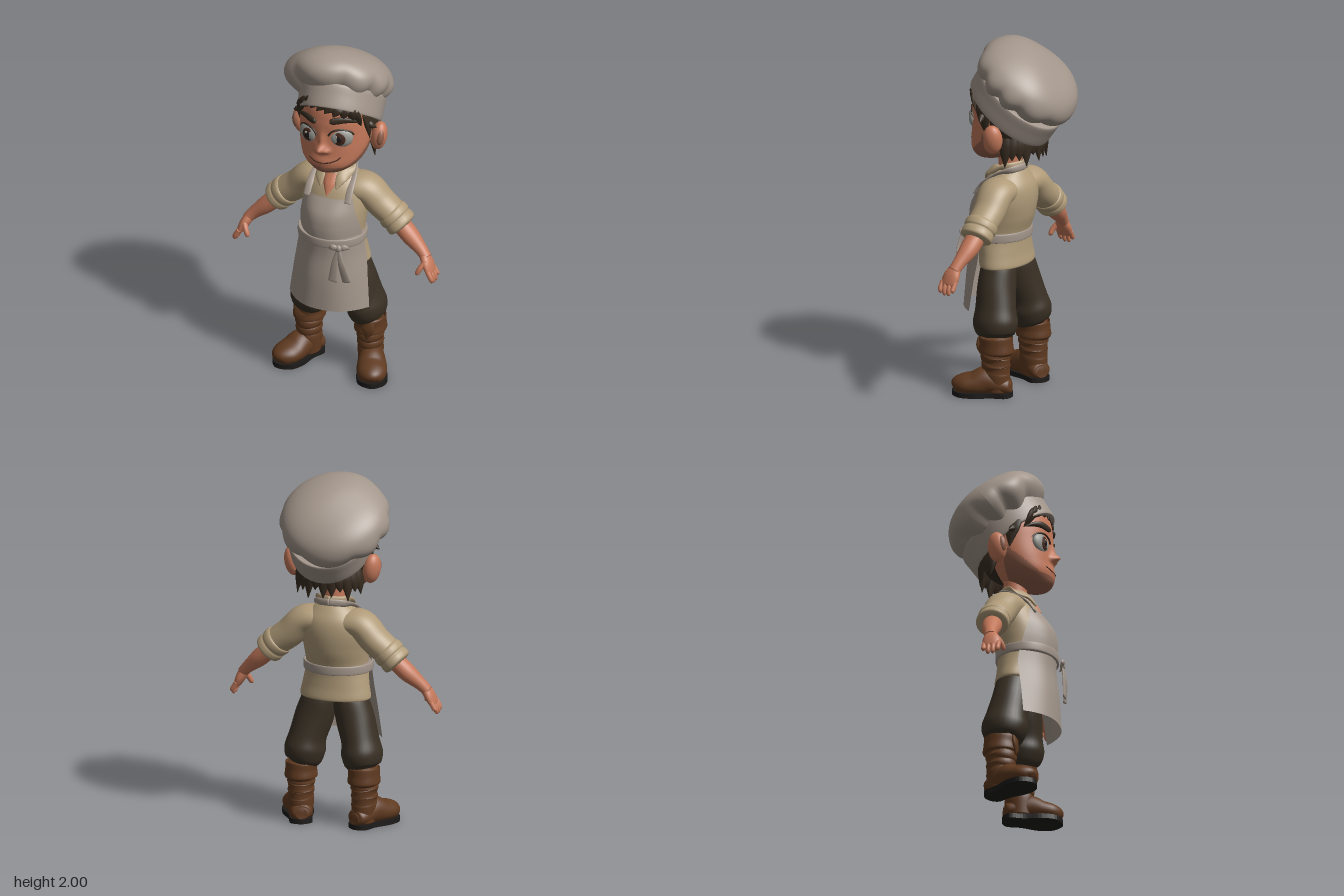
import * as THREE from 'three';

const V = (x, y, z) => new THREE.Vector3(x, y, z);
const paint = (name, color, side = THREE.FrontSide) => {
  const m = new THREE.MeshStandardMaterial({ color, side });
  m.name = name;
  return m;
};

// Smoothly interpolate a table of rows at t in 0..1
function sample(rows, t) {
  const f = t * (rows.length - 1), i = Math.min(Math.floor(f), rows.length - 2), s = f - i;
  const g = k => rows[Math.max(0, Math.min(rows.length - 1, k))];
  return rows[0].map((_, c) => {
    const a = g(i - 1)[c], b = g(i)[c], d = g(i + 1)[c], e = g(i + 2)[c];
    return b + 0.5 * s * (d - a + s * (2 * a - 5 * b + 4 * d - e + s * (3 * (b - d) + e - a)));
  });
}

function makeGeometry(pos, index) {
  const g = new THREE.BufferGeometry();
  g.setAttribute('position', new THREE.Float32BufferAttribute(pos, 3));
  g.setIndex(index);
  g.computeVertexNormals();
  return g;
}

// Closed skin over elliptical rings [x, y, z, radiusA, radiusB]
function loft(rows, { n = 24, m = rows.length * 5, ref = V(0, 0, 1), flat = false, pick } = {}) {
  const pos = [], sets = [[], []];
  const add = (...t) => {
    const c = k => t.reduce((s, i) => s + pos[i * 3 + k] / 3, 0);
    sets[pick && pick(c(0), c(1), c(2)) ? 1 : 0].push(...t);
  };
  for (let i = 0; i <= m; i++) {
    const [x, y, z, a, b] = sample(rows, i / m);
    const p = sample(rows, Math.max(0, i / m - 0.01)), q = sample(rows, Math.min(1, i / m + 0.01));
    const T = flat ? V(0, 1, 0) : V(q[0] - p[0], q[1] - p[1], q[2] - p[2]).normalize();
    const w = ref.clone().addScaledVector(T, -ref.dot(T)).normalize(), u = T.clone().cross(w);
    for (let j = 0; j < n; j++) {
      const th = j / n * Math.PI * 2;
      const v = V(x, y, z).addScaledVector(u, a * Math.cos(th)).addScaledVector(w, b * Math.sin(th));
      pos.push(v.x, v.y, v.z);
    }
  }
  const first = (m + 1) * n;
  pos.push(...rows[0].slice(0, 3), ...rows[rows.length - 1].slice(0, 3));
  for (let j = 0; j < n; j++) {
    const k = (j + 1) % n;
    for (let i = 0; i < m; i++) {
      const a = i * n + j, b = a + n, c = i * n + k, d = c + n;
      add(a, b, c);
      add(b, d, c);
    }
    add(first, j, k);
    add(first + 1, m * n + k, m * n + j);
  }
  const g = makeGeometry(pos, sets.flat());
  if (pick) {
    g.addGroup(0, sets[0].length, 0);
    g.addGroup(sets[0].length, sets[1].length, 1);
  }
  return g;
}

// Move every vertex by a rule
function reshape(g, rule) {
  const p = g.attributes.position;
  for (let i = 0; i < p.count; i++) p.setXYZ(i, ...rule(p.getX(i), p.getY(i), p.getZ(i)));
  g.computeVertexNormals();
  return g;
}

// Curved cloth panel from rows [y, halfWidth, frontZ, edgeZ]
function panel(rows, nu = 24, nv = 24) {
  const pos = [], index = [];
  for (let i = 0; i <= nv; i++) {
    const [y, hw, front, edge] = sample(rows, i / nv);
    for (let j = 0; j <= nu; j++) {
      const t = j / nu * 2 - 1;
      pos.push(t * hw, y, front - (front - edge) * Math.abs(t) ** 2.5);
      if (i < nv && j < nu) {
        const a = i * (nu + 1) + j, b = a + nu + 1;
        index.push(a, b, a + 1, b, b + 1, a + 1);
      }
    }
  }
  return makeGeometry(pos, index);
}

export function createModel() {
  const root = new THREE.Group();
  root.name = 'cook';
  const skin = paint('skin', 0xc4795b), stubble = paint('stubble', 0x93604b), hair = paint('hair', 0x372c20);
  const cloth = paint('greyCloth', 0xa2958a, THREE.DoubleSide), shirt = paint('shirtBeige', 0xb09b79);
  const trousers = paint('trousers', 0x393024), leather = paint('leather', 0x5f3a20), rubber = paint('rubber', 0x1d1b1a);
  const white = paint('eyeWhite', 0x999a94), iris = paint('irisBrown', 0x472a1e);

  const put = (name, mat, geo, parent = root) => {
    const mesh = new THREE.Mesh(geo, mat);
    mesh.name = name;
    parent.add(mesh);
    return mesh;
  };
  const ball = (name, mat, p, s, r = [0, 0, 0]) => {
    const mesh = put(name, mat, new THREE.SphereGeometry(1, 28, 18));
    mesh.position.set(...p);
    mesh.scale.set(...s);
    mesh.rotation.set(...r);
  };
  const wire = (name, mat, pts, r) => put(name, mat,
    new THREE.TubeGeometry(new THREE.CatmullRomCurve3(pts.map(p => V(...p))), 24, r, 6));

  // Head with stubble along the jaw; nose, cheeks and brow ridge are raised from it
  const bump = (x, y, cx, cy, sx, sy) => Math.exp(-(((x - cx) / sx) ** 2) - ((y - cy) / sy) ** 2);
  const head = put('head', [skin, stubble], reshape(loft([
    [0, 1.315, 0.17, 0.05, 0.05], [0, 1.335, 0.155, 0.105, 0.09], [0, 1.38, 0.12, 0.163, 0.142],
    [0, 1.45, 0.08, 0.195, 0.18], [0, 1.55, 0.06, 0.205, 0.195], [0, 1.65, 0.055, 0.2, 0.2],
    [0, 1.75, 0.05, 0.18, 0.18], [0, 1.83, 0.03, 0.1, 0.1]], {
    n: 128, m: 100, flat: true,
    pick: (x, y, z) => (z > 0.03 || y < 1.36) && y < 1.37 + 0.13 * Math.max(0, Math.min(1, (0.22 - z) / 0.16)),
  }), (x, y, z) => [x, y, z < 0.12 ? z : z + 0.044 * bump(x, y, -0.005, 1.487, 0.028, 0.024)
    + 0.018 * bump(x, y, -0.003, 1.535, 0.02, 0.045) + 0.016 * bump(Math.abs(x), y, 0.032, 1.477, 0.014, 0.014)
    + 0.008 * bump(x, y, 0, 1.405, 0.07, 0.03) + 0.008 * bump(x, y, 0, 1.345, 0.05, 0.025)]));
  const ray = new THREE.Raycaster();
  const faceZ = (x, y) => {
    ray.set(V(x, y, 1), V(0, 0, -1));
    const hit = ray.intersectObject(head)[0];
    return hit ? hit.point.z : 0.12;
  };
  put('neck', skin, loft([[0, 1.2, 0.04, 0.08, 0.075], [0, 1.3, 0.045, 0.066, 0.066], [0, 1.42, 0.05, 0.07, 0.07]]));
  wire('mouth', iris, [[-0.082, 1.412], [-0.04, 1.4], [0.03, 1.404], [0.08, 1.422], [0.1, 1.44]]
    .map(([x, y]) => [x, y, faceZ(x, y) - 0.001]), 0.0042);

  for (const s of [-1, 1]) {
    // Eyes, lashes and brows
    const ex = s * 0.097, ey = 1.553 + s * 0.006, ez = faceZ(ex, ey) - 0.015, ix = ex - s * 0.006;
    ball('eye', white, [ex, ey, ez], [0.065, 0.058, 0.03], [0, s * 0.36, 0]);
    ball('iris', iris, [ix, ey, ez + 0.022], [0.039, 0.041, 0.011], [0, s * 0.18, 0]);
    ball('pupil', rubber, [ix, ey, ez + 0.028], [0.02, 0.021, 0.007]);
    ball('eyeGlint', white, [ix - 0.013, ey + 0.015, ez + 0.032], [0.007, 0.007, 0.004]);
    const lash = [0.3, 0.8, 1.57, 2.3, 2.85].map(t => [ex + 0.065 * Math.cos(t), ey + 0.058 * Math.sin(t)]);
    wire('upperLash', hair, lash.map(([x, y]) => [x, y, faceZ(x, y) + 0.004]), 0.0055);
    const by = 1.65 + s * 0.009;
    put('eyebrow', hair, loft([[0.042, 0.004, 0.01], [0.06, 0.008, 0.019], [0.11, 0.014, 0.019], [0.155, 0.001, 0.012], [0.178, -0.014, 0.003]]
      .map(([x, y, a]) => [s * x, by + y, faceZ(s * x, by + y) + 0.003, a, 0.011])));

    // Ears with a hollow facing forward
    ball('ear', skin, [s * 0.232, 1.493, 0.008], [0.046, 0.085, 0.056], [0, s * 0.35, -s * 0.15]);
    ball('innerEar', stubble, [s * 0.249, 1.497, 0.034], [0.025, 0.052, 0.032], [0, s * 0.35, -s * 0.15]);
  }

  // Hair: cap, fringe, sideburns and nape tufts
  ball('hairCap', hair, [0, 1.58, 0], [0.214, 0.2, 0.165]);
  const lock = (name, p, q, r, a, b, ref) => put(name, hair,
    loft([[...p, a * 0.8, b], [...q, a, b], [...r, 0.002, 0.002]], { n: 12, ref }));
  for (const [x0, y0, x1, y1] of [[-0.13, 1.73, -0.185, 1.62], [-0.1, 1.75, -0.165, 1.67], [-0.06, 1.77, -0.13, 1.7], [-0.02, 1.78, -0.085, 1.715],
    [0.03, 1.78, -0.04, 1.715], [0.065, 1.77, 0.01, 1.71], [0.09, 1.76, 0.06, 1.695], [0.11, 1.75, 0.11, 1.68], [0.13, 1.74, 0.155, 1.655], [0.14, 1.73, 0.186, 1.615]]) {
    const xm = (x0 + x1) / 2, ym = (y0 + y1) / 2 + 0.008;
    lock('fringeLock', [x0, y0, faceZ(x0, y0) - 0.002], [xm, ym, faceZ(xm, ym) + 0.006], [x1, y1, faceZ(x1, y1) + 0.008], 0.036, 0.014);
  }
  for (const s of [-1, 1]) {
    lock('sideburn', [s * 0.192, 1.68, 0.1], [s * 0.203, 1.61, 0.085], [s * 0.203, 1.5, 0.07], 0.016, 0.044);
    lock('sideFlick', [s * 0.2, 1.62, 0.09], [s * 0.222, 1.6, 0.09], [s * 0.25, 1.585, 0.08], 0.018, 0.018);
  }
  for (let i = 0; i < 11; i++) {
    const t = (i - 5) * 0.25, sx = Math.sin(t), sz = -Math.cos(t);
    const at = (r, y) => [sx * r * 1.3, y, sz * r + 0.005];
    lock('napeTuft', at(0.125, 1.53), at(0.142, 1.44), at(0.15, 1.355 + 0.03 * Math.sin(i * 2.4)), 0.038, 0.022, V(sx, 0, sz));
  }

  // Hat, tipped back
  const hat = new THREE.Group();
  hat.name = 'hat';
  hat.position.set(0.01, 1.597, 0.045);
  hat.rotation.set(-0.64, 0, 0.08);
  root.add(hat);
  put('hatBand', cloth, loft([[0, 0, 0, 0.218, 0.262], [0, 0.004, 0, 0.23, 0.272], [0, 0.07, 0.005, 0.235, 0.276],
    [0, 0.13, 0.01, 0.237, 0.278], [0, 0.135, 0.01, 0.22, 0.26]], { n: 48, flat: true }), hat);
  put('hatPuff', cloth, reshape(new THREE.SphereGeometry(1, 96, 48), (x, y, z) => {
    const t = Math.atan2(z, x), low = THREE.MathUtils.smoothstep(-y, -0.35, 0.55);
    const fold = Math.abs(Math.sin(t * 4.5 + 0.9 * Math.sin(t * 2) + 0.5 * Math.sin(t))) - 0.55;
    const r = 0.3 * (1 + low * (fold * 0.1 + 0.03));
    return [x * r, y * 0.155 * (1 + low * fold * 0.2) + 0.006 * Math.sin(x * 4 + z * 3), z * r];
  }), hat).position.set(-0.03, 0.212, 0.03);

  // Shirt body, open neck and collar
  put('shirtBody', shirt, loft([[0, 0.722, 0.066, 0.185, 0.11], [0, 0.727, 0.066, 0.203, 0.126], [0, 0.8, 0.075, 0.19, 0.126],
    [0, 0.9, 0.095, 0.176, 0.145], [0, 1.0, 0.085, 0.184, 0.165], [0, 1.1, 0.06, 0.193, 0.154], [0, 1.18, 0.048, 0.175, 0.134],
    [0, 1.24, 0.045, 0.12, 0.097], [0, 1.275, 0.04, 0.07, 0.065]], { n: 40, m: 48, flat: true }));
  put('openNeck', skin, panel([[1.265, 0.055, 0.137, 0.1], [1.21, 0.036, 0.176, 0.16], [1.15, 0.003, 0.201, 0.201]]));
  for (const s of [-1, 1]) {
    put('collar', shirt, loft([[0, 1.295, -0.033, 0.026, 0.01], [s * 0.065, 1.292, 0, 0.026, 0.01], [s * 0.086, 1.28, 0.065, 0.03, 0.011],
      [s * 0.064, 1.248, 0.138, 0.032, 0.011], [s * 0.046, 1.195, 0.178, 0.006, 0.006]]));
  }

  // Apron with straps, belt and bow
  put('apronBib', cloth, panel([[1.145, 0.14, 0.21, 0.165], [1.06, 0.162, 0.266, 0.168], [0.98, 0.18, 0.282, 0.15], [0.9, 0.187, 0.28, 0.13]]));
  put('apronSkirt', cloth, panel([[0.91, 0.187, 0.278, 0.13], [0.8, 0.205, 0.274, 0.12], [0.65, 0.222, 0.29, 0.14], [0.475, 0.24, 0.298, 0.16]]));
  put('apronBelt', cloth, loft([[0, 0.87, 0.115, 0.185, 0.165], [0, 0.874, 0.115, 0.196, 0.174], [0, 0.916, 0.115, 0.196, 0.174],
    [0, 0.92, 0.115, 0.185, 0.165]], { n: 48, flat: true }));
  for (const s of [-1, 1]) {
    put('apronStrap', cloth, loft([[s * 0.122, 1.125, 0.195, 0.02, 0.007], [s * 0.12, 1.19, 0.15, 0.02, 0.007],
      [s * 0.108, 1.25, 0.065, 0.02, 0.008], [s * 0.075, 1.28, -0.015, 0.02, 0.008], [0, 1.288, -0.046, 0.02, 0.008]]));
    put('bowLoop', cloth, loft([[0.11, 0.882, 0.283, 0.01, 0.008], [0.11 + s * 0.03, 0.892, 0.287 - s * 0.01, 0.018, 0.011],
      [0.11 + s * 0.052, 0.88, 0.276 - s * 0.018, 0.007, 0.005]], { n: 14 }));
    put('bowTail', cloth, loft([[0.11, 0.885, 0.286, 0.01, 0.006], [0.113 + s * 0.02, 0.79, 0.299, 0.02, 0.006],
      [0.12 + s * 0.038, 0.68, 0.295 - s * 0.01, 0.026, 0.006]], { n: 12 }));
  }
  ball('bowKnot', cloth, [0.11, 0.884, 0.286], [0.02, 0.022, 0.015]);

  for (const s of [-1, 1]) {
    const limb = (name, mat, rows, opt) => put(name, mat, loft(rows.map(([x, ...r]) => [s * x, ...r]), opt));

    // Sleeves with rolled cuffs
    limb('sleeve', shirt, [[0.03, 1.155, 0.04, 0.06, 0.1], [0.1, 1.165, 0.038, 0.076, 0.107], [0.175, 1.15, 0.028, 0.084, 0.102],
      [0.25, 1.075, 0.02, 0.083, 0.093], [0.335, 1.01, 0.02, 0.078, 0.086]], { n: 32 });
    limb('rolledCuff', shirt, [[0.305, 1.035, 0.02, 0.07, 0.075], [0.316, 1.025, 0.02, 0.086, 0.094], [0.337, 1.003, 0.02, 0.087, 0.095],
      [0.347, 0.993, 0.02, 0.081, 0.089], [0.358, 0.982, 0.02, 0.085, 0.093], [0.378, 0.962, 0.02, 0.082, 0.091], [0.386, 0.954, 0.02, 0.06, 0.066]]);

    // Forearm and hand
    limb('forearm', skin, [[0.35, 0.985, 0.02, 0.05, 0.055], [0.43, 0.908, 0.03, 0.05, 0.053], [0.5, 0.847, 0.045, 0.036, 0.038], [0.54, 0.805, 0.057, 0.03, 0.034]]);
    limb('palm', skin, [[0.525, 0.822, 0.054, 0.028, 0.032], [0.55, 0.78, 0.064, 0.028, 0.05], [0.572, 0.735, 0.07, 0.02, 0.05], [0.578, 0.722, 0.07, 0.01, 0.045]]);
    for (let i = 0; i < 4; i++) {
      const z = 0.07 + (i - 1.5) * 0.027, end = i === 0 ? 0.695 : i === 3 ? 0.685 : 0.675;
      limb('finger', skin, [[0.568, 0.75, z, 0.013, 0.014], [0.588, 0.715, z * 1.02, 0.014, 0.0135],
        [0.594, end + 0.012, z, 0.012, 0.012], [0.592, end, z, 0.004, 0.004]], { n: 12 });
    }
    limb('thumb', skin, [[0.548, 0.8, 0.085, 0.016, 0.018], [0.527, 0.765, 0.112, 0.015, 0.016], [0.512, 0.735, 0.122, 0.013, 0.013], [0.507, 0.724, 0.123, 0.004, 0.004]], { n: 14 });

    // Baggy trouser leg
    limb('trouserLeg', trousers, [[0.088, 0.76, 0.065, 0.085, 0.085], [0.092, 0.7, 0.062, 0.1, 0.1], [0.12, 0.6, 0.055, 0.108, 0.108],
      [0.152, 0.49, 0.04, 0.104, 0.117], [0.166, 0.415, 0.032, 0.114, 0.13], [0.17, 0.355, 0.026, 0.1, 0.112], [0.175, 0.33, 0.022, 0.07, 0.08]], { n: 32 });

    // Boot with folded top, creased shaft, foot and sole
    limb('bootShaft', leather, [[0.183, 0.33, 0.018, 0.074, 0.085], [0.184, 0.25, 0.015, 0.072, 0.08], [0.185, 0.225, 0.017, 0.077, 0.088],
      [0.185, 0.2, 0.014, 0.069, 0.078], [0.185, 0.178, 0.016, 0.074, 0.085], [0.185, 0.155, 0.014, 0.068, 0.078],
      [0.185, 0.13, 0.016, 0.071, 0.082], [0.185, 0.08, 0.015, 0.068, 0.08], [0.185, 0.03, 0.015, 0.064, 0.076]], { n: 32 });
    limb('bootCuff', leather, [[0.182, 0.343, 0.018, 0.075, 0.085], [0.182, 0.337, 0.018, 0.088, 0.097], [0.184, 0.3, 0.015, 0.087, 0.096],
      [0.184, 0.256, 0.014, 0.09, 0.1], [0.184, 0.25, 0.014, 0.07, 0.08]], { n: 32 });
    limb('cuffFlap', leather, [[0.2, 0.33, 0.098, 0.04, 0.012], [0.205, 0.285, 0.105, 0.038, 0.014], [0.2, 0.23, 0.106, 0.006, 0.006]], { n: 14 });
    const foot = new THREE.Group();
    foot.name = 'foot';
    foot.position.set(s * 0.185, 0, 0.005);
    foot.rotation.y = s * 0.43;
    root.add(foot);
    put('bootFoot', leather, reshape(loft([[0, 0.06, -0.078, 0.03, 0.03], [0, 0.06, -0.062, 0.056, 0.045], [0, 0.07, -0.01, 0.066, 0.06], [0, 0.085, 0.06, 0.074, 0.08],
      [0, 0.068, 0.13, 0.084, 0.066], [0, 0.06, 0.19, 0.08, 0.058], [0, 0.052, 0.235, 0.052, 0.042], [0, 0.045, 0.25, 0.015, 0.012]], { n: 32, ref: V(0, 1, 0) }),
      (x, y, z) => [x, Math.max(0.015, y), z]), foot);
    const half = [[0.058, -0.058], [0.063, 0.03], [0.086, 0.13], [0.073, 0.21]];
    const outline = [...half, [0, 0.256], ...half.map(([x, z]) => [-x, z]).reverse(), [0, -0.085]].map(p => V(...p, 0));
    const sole = new THREE.ExtrudeGeometry(new THREE.Shape(new THREE.CatmullRomCurve3(outline, true)
      .getPoints(48).slice(0, 48).map(p => new THREE.Vector2(p.x, p.y))), { depth: 0.028, bevelEnabled: false });
    sole.rotateX(Math.PI / 2).translate(0, 0.028, 0);
    put('bootSole', rubber, sole, foot);
  }
  return root;
}
